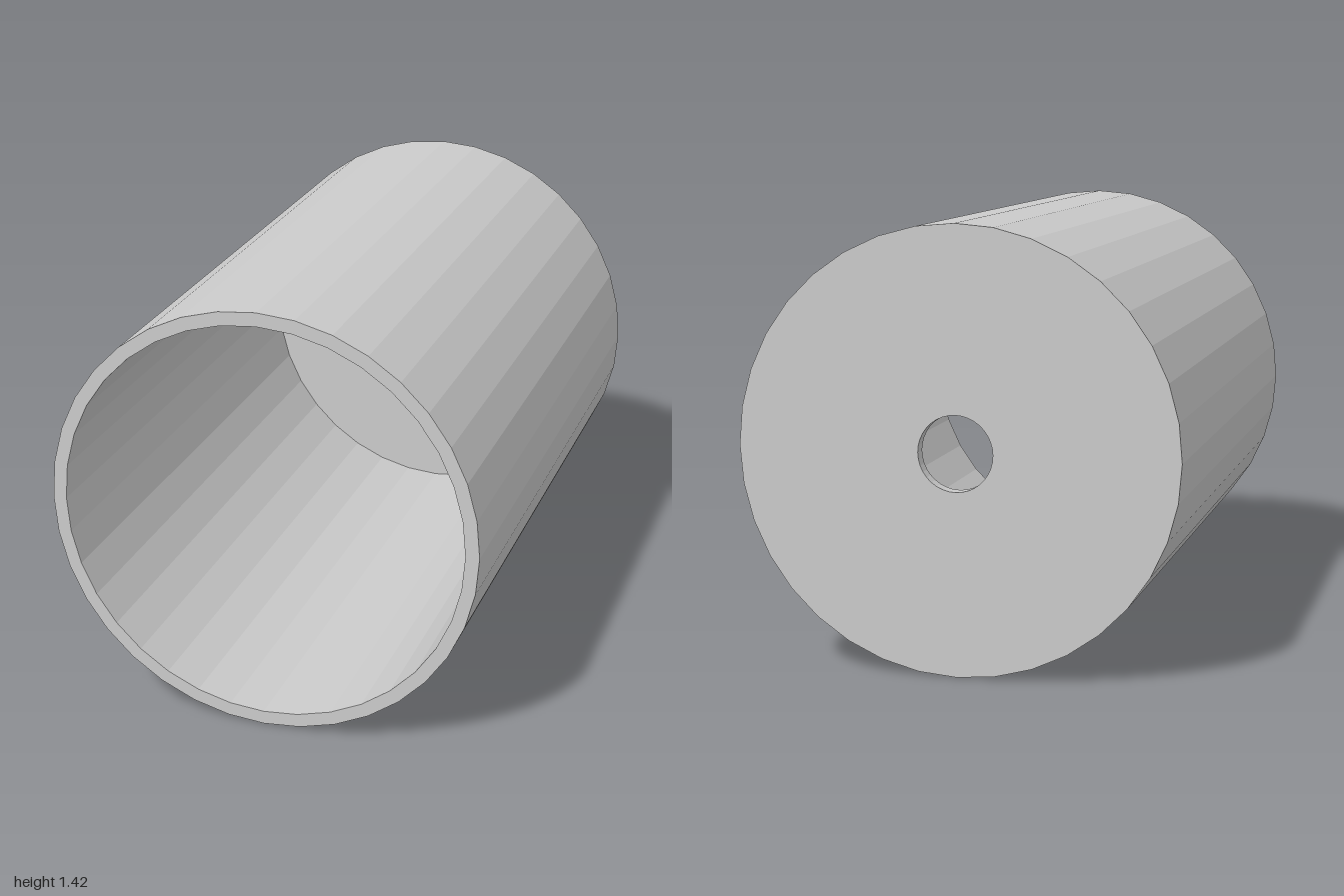
import * as THREE from 'three';

const SIDES = 36;
const OUTER = 0.712, INNER = 0.667, HOLE = 0.121;
const HALF = 1, FLOOR = 0.045;

export function createModel() {
  const group = new THREE.Group();
  group.name = 'cup';

  // closed wall section: back face, outside, front rim, inside, floor, hole
  const section = [
    [HOLE, -HALF], [OUTER, -HALF], [OUTER, HALF], [INNER, HALF],
    [INNER, -HALF + FLOOR], [HOLE, -HALF + FLOOR], [HOLE, -HALF],
  ].map(([r, y]) => new THREE.Vector2(r, y));

  // turn the section, then lay it down with the open end to the front
  const geometry = new THREE.LatheGeometry(section, SIDES);
  geometry.rotateX(Math.PI / 2);
  geometry.translate(0, OUTER, 0);

  const material = new THREE.MeshStandardMaterial({ color: 0xcccccc, flatShading: true });
  const shell = new THREE.Mesh(geometry, material);
  shell.name = 'hollowCylinderWithFloorHole';
  group.add(shell);
  return group;
}
